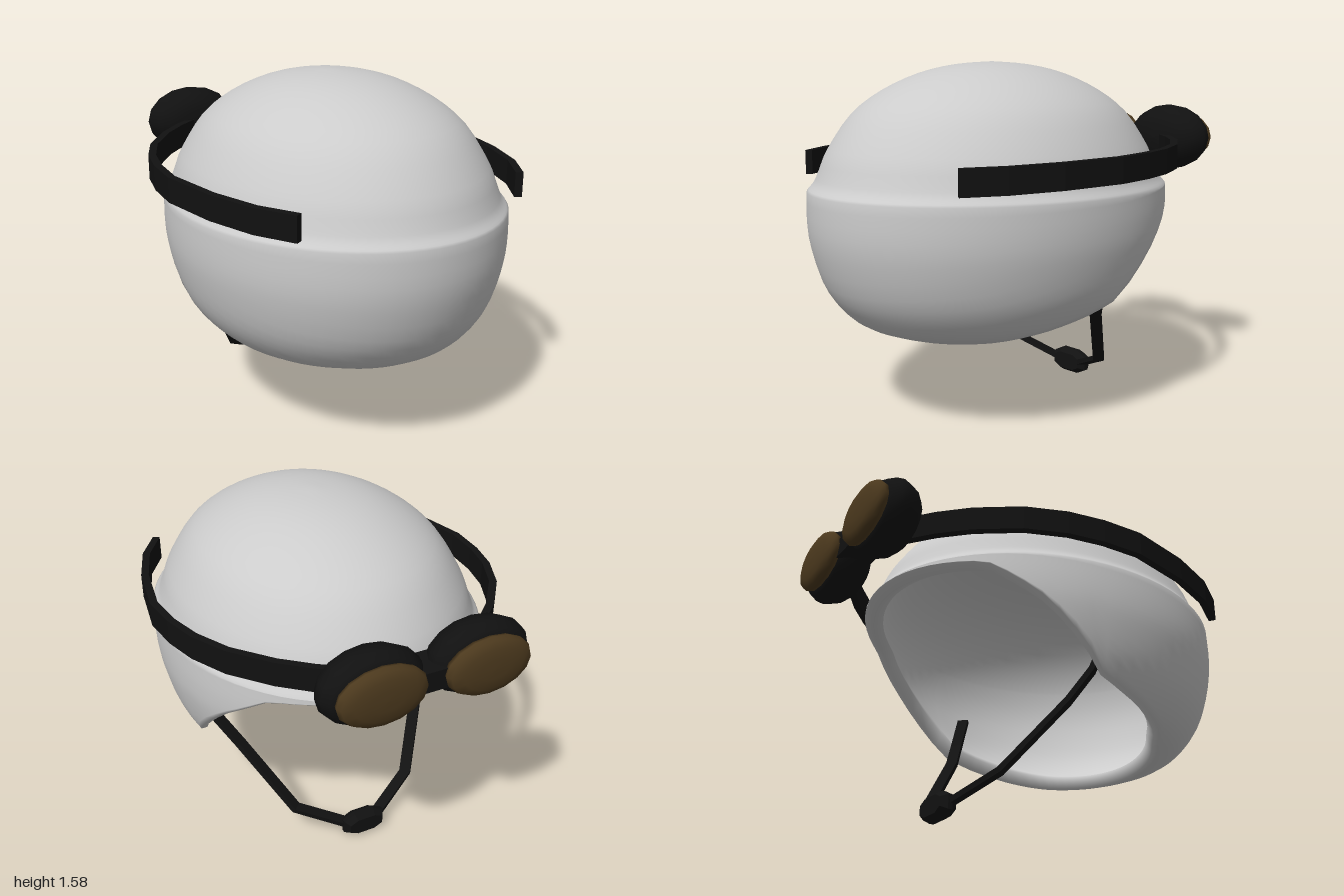
import * as THREE from 'three';

const V2 = (x, y) => new THREE.Vector2(x, y);
const V3 = (x, y, z) => new THREE.Vector3(x, y, z);
const grey = new THREE.MeshStandardMaterial({ color: 0xcccccc });
const black = new THREE.MeshStandardMaterial({ color: 0x111111 });
const blackFlat = new THREE.MeshStandardMaterial({ color: 0x111111, flatShading: true });
const amber = new THREE.MeshStandardMaterial({ color: 0x4d3a1e });

function part(name, geometry, material) {
  const mesh = new THREE.Mesh(geometry, material);
  mesh.name = name;
  return mesh;
}

// Height of the shell's lower edge, by cosine of the angle around it (-1 = brow, 1 = nape)
const EDGE = [[-1, 1.018], [-0.72, 0.98], [-0.48, 0.82], [-0.33, 0.69], [-0.17, 0.55],
  [0, 0.51], [0.27, 0.46], [0.6, 0.41], [1, 0.385]];
function edgeHeight(c) {
  let i = 0;
  while (i < EDGE.length - 2 && c > EDGE[i + 1][0]) i++;
  const [c0, y0] = EDGE[i], [c1, y1] = EDGE[i + 1];
  return y0 + (y1 - y0) * (c - c0) / (c1 - c0);
}

// Smooth lining just inside a point of the outer profile
function lining(p) {
  const x = p.y > 0.9 ? Math.sqrt(Math.max(0, 1 - ((p.y - 0.9) / 0.68) ** 2)) : p.x;
  return V2(x * 0.91, 1 + (p.y - 1) * 0.91);
}

// Hollow shell: dome, seam and lower bowl cut along the edge, then back up the inside
function shellGeometry() {
  const dome = new THREE.SplineCurve([V2(0, 1.58), V2(0.2, 1.567), V2(0.4, 1.528), V2(0.6, 1.452),
    V2(0.76, 1.35), V2(0.885, 1.2), V2(0.932, 1.11), V2(0.958, 1.06), V2(0.988, 1.03)]).getPoints(24);
  const bowl = new THREE.SplineCurve([V2(0.997, 1.02), V2(1, 0.9), V2(0.985, 0.78), V2(0.93, 0.62),
    V2(0.85, 0.51), V2(0.75, 0.435), V2(0.6, 0.385)]);
  const cols = 72, steps = 14, positions = [], index = [];
  const profiles = [];
  for (let j = 0; j < cols; j++) {
    const limit = edgeHeight(Math.cos(j / cols * Math.PI * 2));
    let lo = 0, hi = 1;
    for (let k = 0; k < 24; k++) {
      const mid = (lo + hi) / 2;
      if (bowl.getPoint(mid).y > limit) lo = mid; else hi = mid;
    }
    const outer = [...dome];
    for (let k = 0; k <= steps; k++) outer.push(bowl.getPoint(hi * k / steps));
    const inner = outer.map(lining).reverse();
    const lip = outer[outer.length - 1].clone().lerp(inner[0], 0.5);
    lip.y -= 0.025;
    profiles.push([...outer, lip, ...inner]);
  }
  const rows = profiles[0].length;
  for (let i = 0; i < rows; i++) {
    for (let j = 0; j < cols; j++) {
      const a = j / cols * Math.PI * 2, p = profiles[j][i];
      positions.push(0.735 * p.x * Math.sin(a), p.y, 0.12 + 0.88 * p.x * Math.cos(a));
    }
  }
  const at = (i, j) => i * cols + (i === 0 || i === rows - 1 ? 0 : j % cols);
  for (let i = 0; i < rows - 1; i++) {
    for (let j = 0; j < cols; j++) {
      const a = at(i, j), b = at(i + 1, j), c = at(i + 1, j + 1), d = at(i, j + 1);
      if (i < rows - 2) index.push(a, b, c);
      if (i > 0) index.push(a, c, d);
    }
  }
  const g = new THREE.BufferGeometry();
  g.setAttribute('position', new THREE.Float32BufferAttribute(positions, 3));
  g.setIndex(index);
  g.computeVertexNormals();
  return g;
}

// Goggle band, one side: plan outline raised to a strip, tilted up towards the goggles
function bandGeometry(side) {
  const path = [V2(0.55, 0.76), V2(0.65, 0.6), V2(0.725, 0.38), V2(0.772, 0.1), V2(0.755, -0.08),
    V2(0.715, -0.24), V2(0.635, -0.41), V2(0.5, -0.58), V2(0.38, -0.69), V2(0.24, -0.79)];
  const offset = d => path.map((p, i) => {
    const t = path[Math.min(i + 1, path.length - 1)].clone().sub(path[Math.max(i - 1, 0)]).normalize();
    return V2(side * (p.x - t.y * d), p.y + t.x * d);
  });
  const shape = new THREE.Shape([...offset(0.017), ...offset(-0.017).reverse()]);
  const g = new THREE.ExtrudeGeometry(shape, { depth: 0.11, bevelEnabled: false });
  g.rotateX(Math.PI / 2);
  const pos = g.attributes.position;
  for (let i = 0; i < pos.count; i++) {
    pos.setY(i, pos.getY(i) + 1.2 - 0.03 * pos.getZ(i));
  }
  g.computeVertexNormals();
  return g;
}

// Flat chin strap, one side, swept along a bent path from inside the shell to the buckle
function chinGeometry(side) {
  const path = [V3(0.6, 0.76, 0.05), V3(0.56, 0.59, -0.01), V3(0.48, 0.46, -0.08),
    V3(0.3, 0.16, -0.3), V3(0.07, 0.06, -0.41)];
  const last = path.length - 1;
  const wide = V3(0.7, 0, -0.7), positions = [], index = [];
  const quad = (a, b, c, d) => {
    if (side > 0) index.push(a, c, b, a, d, c);
    else index.push(a, b, c, a, c, d);
  };
  path.forEach((p, i) => {
    const t = path[Math.min(i + 1, last)].clone().sub(path[Math.max(i - 1, 0)]).normalize();
    const n = wide.clone().cross(t).normalize();
    for (const [u, v] of [[-1, -1], [1, -1], [1, 1], [-1, 1]]) {
      const q = p.clone().addScaledVector(wide, u * 0.027).addScaledVector(n, v * 0.012);
      positions.push(side * q.x, q.y, q.z);
    }
    if (i === last) return;
    for (let k = 0; k < 4; k++) {
      const a = i * 4 + k, b = i * 4 + (k + 1) % 4;
      quad(a, b, b + 4, a + 4);
    }
  });
  quad(3, 2, 1, 0);
  quad(last * 4, last * 4 + 1, last * 4 + 2, last * 4 + 3);
  const g = new THREE.BufferGeometry();
  g.setAttribute('position', new THREE.Float32BufferAttribute(positions, 3));
  g.setIndex(index);
  g.computeVertexNormals();
  return g;
}

// Round part facing -z from a profile of radius and depth, stretched to an oval
function ovalGeometry(profile, rx, ry) {
  const g = new THREE.LatheGeometry(profile.map(([r, d]) => V2(r, d)), 16);
  g.rotateX(-Math.PI / 2);
  g.scale(rx, ry, 1);
  return g;
}

export function createModel() {
  const model = new THREE.Group();
  model.name = 'helmetWithGoggles';
  model.add(part('helmetShell', shellGeometry(), grey));

  const goggles = new THREE.Group();
  goggles.name = 'goggles';
  for (const side of [1, -1]) {
    const cup = part('goggleCup', ovalGeometry([[0, -0.12], [0.4, -0.115], [0.68, -0.092], [0.88, -0.055],
      [1, 0], [0.97, 0.035], [0.87, 0.07], [0.7, 0.09], [0, 0.095]], 0.23, 0.163), black);
    cup.position.set(side * 0.24, 1.205, -0.86);
    const lens = part('goggleLens', ovalGeometry([[0, -0.03], [0.96, -0.03], [1, -0.005], [0.94, 0.015],
      [0.7, 0.03], [0.35, 0.036], [0, 0.037]], 0.195, 0.128), amber);
    lens.position.set(side * 0.235, 1.205, -0.963);
    goggles.add(cup, lens);
    model.add(part('goggleBand', bandGeometry(side), blackFlat));
    model.add(part('chinStrap', chinGeometry(side), blackFlat));
  }
  const bridge = part('goggleBridge', new THREE.BoxGeometry(0.14, 0.09, 0.15), blackFlat);
  bridge.position.set(0, 1.19, -0.87);
  goggles.add(bridge);
  model.add(goggles);

  // Chin buckle: bevelled octagon
  const octagon = new THREE.Shape([V2(-0.085, -0.02), V2(-0.045, -0.04), V2(0.045, -0.04), V2(0.085, -0.02),
    V2(0.085, 0.02), V2(0.045, 0.04), V2(-0.045, 0.04), V2(-0.085, 0.02)]);
  const buckle = part('chinBuckle', new THREE.ExtrudeGeometry(octagon,
    { depth: 0.02, bevelThickness: 0.03, bevelSize: 0.02, bevelSegments: 1 }), blackFlat);
  buckle.position.set(0, 0.06, -0.428);
  model.add(buckle);
  return model;
}
